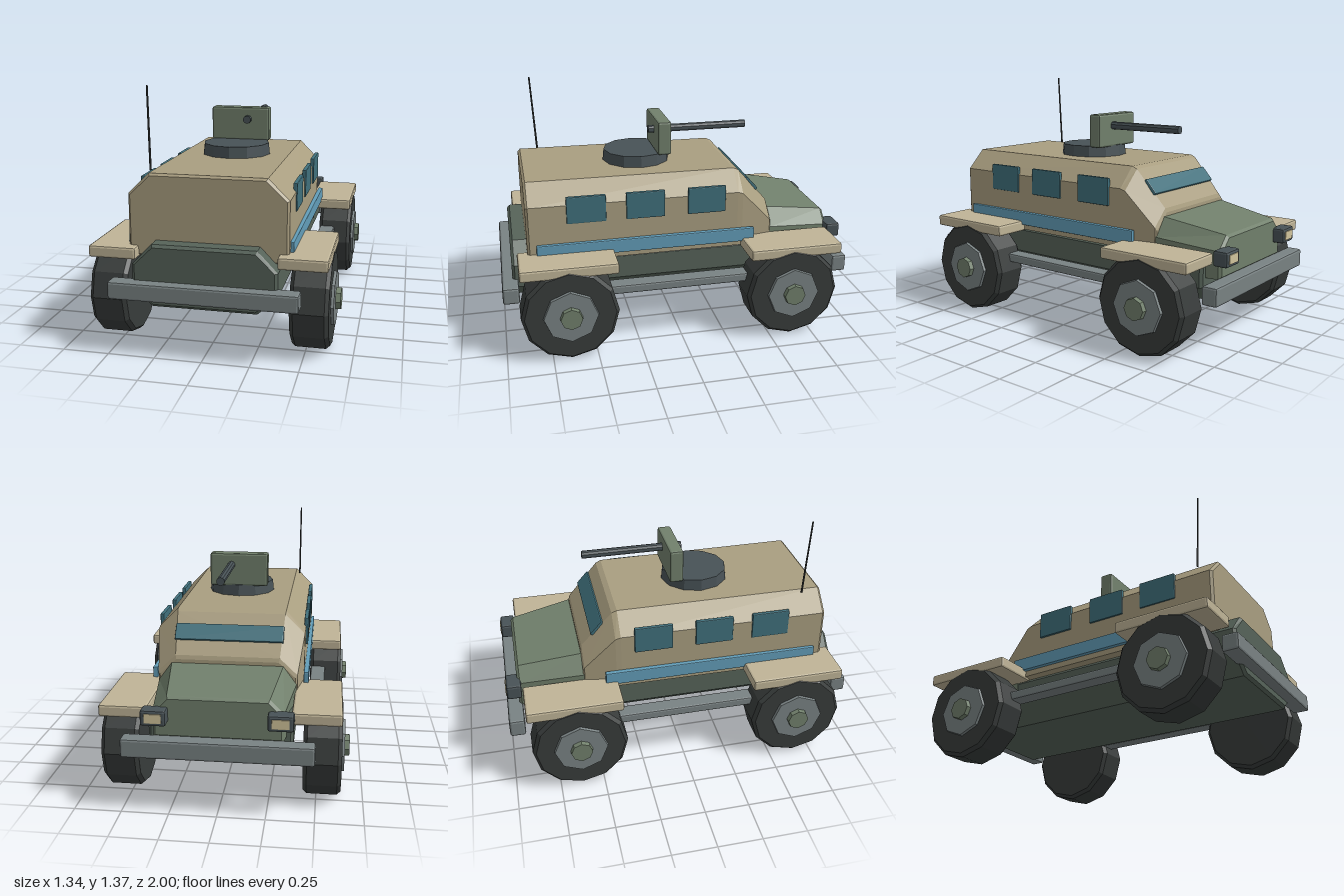
import * as THREE from 'three';
import { RoundedBoxGeometry } from 'three/addons/geometries/RoundedBoxGeometry.js';

const paint = (color) => new THREE.MeshStandardMaterial({ color, flatShading: true, roughness: 0.85 });

// Skin a list of rings [{z, pts}] ordered from high z to low z; pts run counter-clockwise seen from +z
function loft(rings) {
  const pos = [];
  const tri = (...v) => v.forEach((p) => pos.push(...p));
  const R = rings.map(({ z, pts }) => pts.map(([x, y]) => [x, y, z]));
  const n = R[0].length;
  for (let k = 0; k < R.length - 1; k++) {
    for (let i = 0; i < n; i++) {
      const j = (i + 1) % n, a = R[k], b = R[k + 1];
      tri(a[i], b[i], b[j]);
      tri(a[i], b[j], a[j]);
    }
  }
  const first = R[0], last = R[R.length - 1];
  for (let i = 1; i < n - 1; i++) {
    tri(first[0], first[i], first[i + 1]);
    tri(last[0], last[i + 1], last[i]);
  }
  const g = new THREE.BufferGeometry();
  g.setAttribute('position', new THREE.Float32BufferAttribute(pos, 3));
  g.computeVertexNormals();
  return g;
}

// Ring with chamfered shoulders: half width w, roof half width t, bottom, shoulder and roof heights
const shoulderRing = (z, w, t, y0, ys, yt) => ({
  z, pts: [[-w, y0], [w, y0], [w, ys], [t, yt], [-t, yt], [-w, ys]],
});

export function createModel() {
  const model = new THREE.Group();
  const mat = {
    tan: paint(0xa99e80), fender: paint(0xbfb497), hull: paint(0x566359), green: paint(0x71806c),
    steel: paint(0x798283), dark: paint(0x485256), tire: paint(0x383c3b),
    glass: paint(0x40707c), stripe: paint(0x629db8), lens: paint(0xd2c59c),
  };
  const add = (name, geo, material, x = 0, y = 0, z = 0, parent = model) => {
    const m = new THREE.Mesh(geo, material);
    m.name = name;
    m.position.set(x, y, z);
    parent.add(m);
    return m;
  };
  // Softly bevelled box given by its limits on each axis
  const block = (name, material, [x0, x1], [y0, y1], [z0, z1], bevel = 0.012) =>
    add(name, new RoundedBoxGeometry(x1 - x0, y1 - y0, z1 - z0, 1, bevel), material,
      (x0 + x1) / 2, (y0 + y1) / 2, (z0 + z1) / 2);

  // Octagonal lower hull with bevelled ends
  const hullRing = (z, d) => {
    const w = 0.38 - d, t = 0.275 - d / 2, lo = 0.257 + d, hi = 0.59 - d;
    return { z, pts: [[-t, lo], [t, lo], [w, 0.35], [w, 0.48], [t, hi], [-t, hi], [-w, 0.48], [-w, 0.35]] };
  };
  add('lowerHull', loft([hullRing(0.94, 0.015), hullRing(0.925, 0), hullRing(-0.83, 0), hullRing(-0.845, 0.015)]), mat.hull);

  // Crew cabin with chamfered roof, sloping and narrowing at the windshield
  add('cabin', loft([
    shoulderRing(0.85, 0.41, 0.302, 0.51, 0.825, 0.928),
    shoulderRing(0.836, 0.422, 0.31, 0.5, 0.83, 0.94),
    shoulderRing(-0.345, 0.414, 0.305, 0.5, 0.825, 0.936),
    shoulderRing(-0.375, 0.412, 0.302, 0.5, 0.815, 0.922),
    shoulderRing(-0.552, 0.382, 0.285, 0.5, 0.63, 0.722),
    shoulderRing(-0.56, 0.372, 0.28, 0.51, 0.615, 0.7),
  ]), mat.tan);

  // Tapered engine hood
  add('hood', loft([
    shoulderRing(-0.45, 0.385, 0.315, 0.4, 0.59, 0.69),
    shoulderRing(-0.56, 0.378, 0.305, 0.4, 0.58, 0.68),
    shoulderRing(-0.915, 0.335, 0.262, 0.4, 0.548, 0.622),
    shoulderRing(-0.93, 0.323, 0.255, 0.412, 0.54, 0.608),
  ]), mat.green);

  // Windshield lying on the slope
  const windshield = add('windshield', new RoundedBoxGeometry(0.6, 0.1, 0.022, 1, 0.006), mat.glass, 0, 0.828, -0.459);
  windshield.rotation.x = Math.atan2(0.177, 0.2);

  // Bumpers
  block('rearBumper', mat.steel, [-0.495, 0.495], [0.303, 0.397], [0.908, 1.0]);
  block('frontBumper', mat.steel, [-0.495, 0.495], [0.306, 0.407], [-1.0, -0.912]);

  // Wheel profile (radius, offset along the axle), with bevelled shoulders
  const tireGeo = new THREE.LatheGeometry([
    [0, -0.1], [0.25, -0.1], [0.268, -0.08], [0.268, 0.08], [0.25, 0.1], [0, 0.1],
  ].map(([r, h]) => new THREE.Vector2(r, h)), 12);
  const rimGeo = new THREE.CylinderGeometry(0.148, 0.155, 0.03, 8);
  const capGeo = new THREE.CylinderGeometry(0.06, 0.064, 0.05, 8);

  for (const s of [1, -1]) {
    const span = (a, b) => (s > 0 ? [a, b] : [-b, -a]);

    for (const z of [0.645, -0.622]) {
      const wheel = new THREE.Group();
      wheel.name = z > 0 ? 'rearWheel' : 'frontWheel';
      wheel.position.set(s * 0.53, 0.27, z);
      wheel.rotation.z = -s * Math.PI / 2;
      // a vertex of each polygon points straight up
      wheel.rotation.order = 'XYZ';
      add('tire', tireGeo, mat.tire, 0, 0, 0, wheel);
      for (const [name, geo, material, h] of [['rim', rimGeo, mat.steel, 0.1], ['hubCap', capGeo, mat.green, 0.117]])
        add(name, geo, material, 0, h, 0, wheel);
      model.add(wheel);
    }

    // Flat fenders
    block('rearFender', mat.fender, span(0.37, 0.627), [0.492, 0.556], [0.375, 0.908]);
    block('frontFender', mat.fender, span(0.37, 0.627), [0.486, 0.55], [-0.905, -0.37]);

    // Side rail between the wheels
    block('sideRail', mat.steel, span(0.435, 0.527), [0.317, 0.368], [-0.42, 0.42], 0.01);

    // Painted side band and windows
    block('sideBand', mat.stripe, span(0.412, 0.44), [0.532, 0.61], [-0.44, 0.8], 0.005);
    for (const z of [0.52, 0.19, -0.16])
      block('sideWindow', mat.glass, span(0.404, 0.427), [0.722, 0.876], [z - 0.109, z + 0.109], 0.005);

    // Headlights
    block('headlight', mat.dark, span(0.255, 0.387), [0.482, 0.566], [-0.994, -0.91]);
    block('headlightLens', mat.lens, span(0.277, 0.365), [0.499, 0.549], [-0.999, -0.985], 0.003);
  }

  // Roof ring, gun shield and gun
  add('turretRing', new THREE.CylinderGeometry(0.19, 0.197, 0.065, 12), mat.dark, 0, 0.969, 0.17);
  block('gunShield', mat.green, [-0.172, 0.172], [0.995, 1.19], [-0.012, 0.068]);
  const gun = add('gunBarrel', new THREE.CylinderGeometry(0.023, 0.023, 0.587, 10), mat.dark, 0.045, 1.121, -0.192);
  gun.rotation.x = Math.PI / 2;

  // Whip antenna leaning slightly backwards
  const antenna = add('antenna', new THREE.CylinderGeometry(0.005, 0.006, 0.445, 6), mat.tire, -0.335, 1.154, 0.741);
  antenna.rotation.x = 0.054;

  return model;
}
